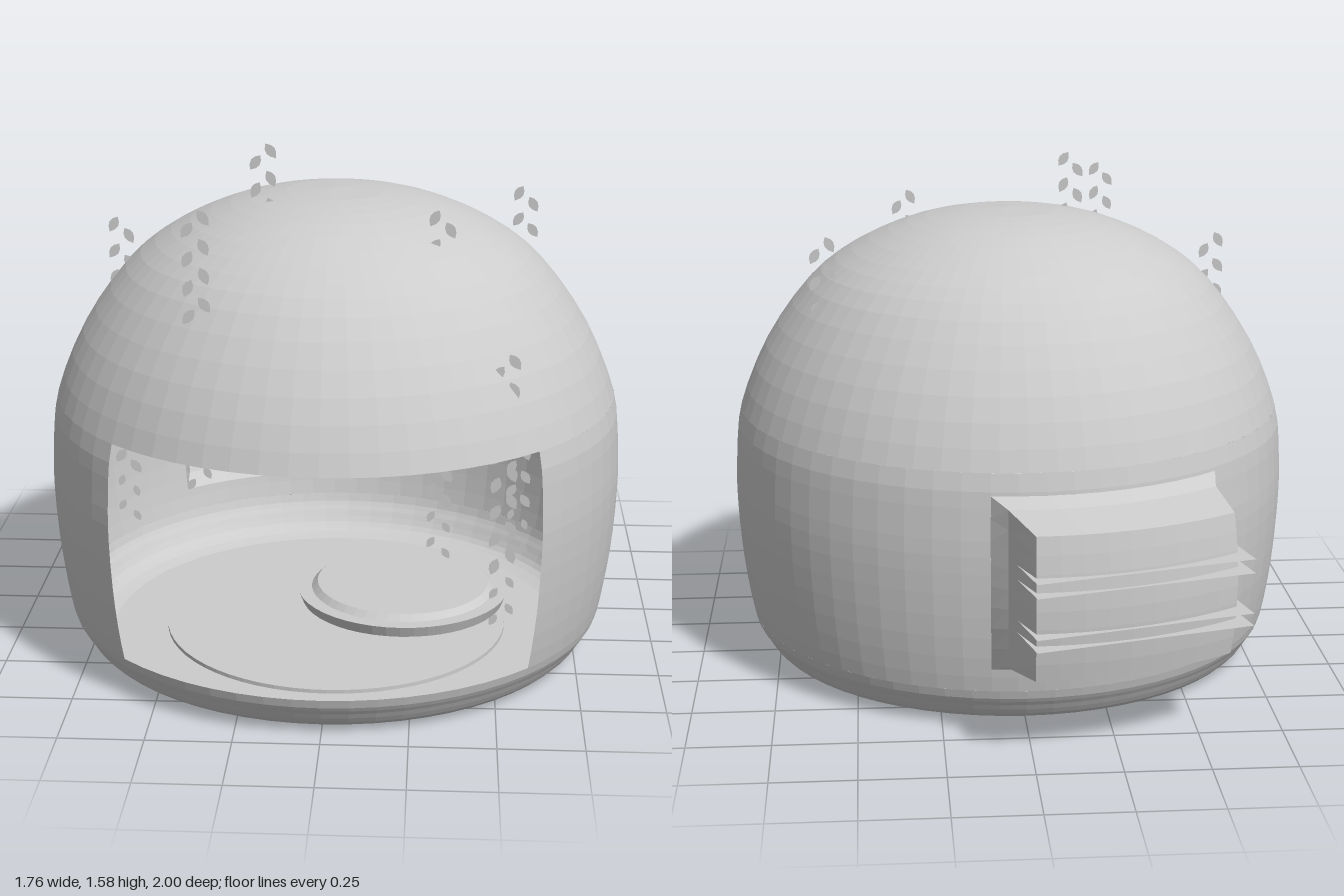
import * as THREE from 'three';

const DEG = Math.PI / 180;
const CZ = 0.14;               // z of the dome's axis
const ALCOVE = 196.8 * DEG;    // heading of the alcove around the axis
const HOLE = 24 * DEG;         // half width of the alcove mouth

const clay = new THREE.MeshStandardMaterial({ color: 0xcccccc, flatShading: true, side: THREE.DoubleSide });
clay.name = 'pale grey';

function add(parent, name, geometry, x = 0, y = 0, z = 0) {
  const mesh = new THREE.Mesh(geometry, clay);
  mesh.name = name;
  mesh.position.set(x, y, z);
  parent.add(mesh);
  return mesh;
}

// Dome profile (radius, height)
const profile = new THREE.SplineCurve([
  [0.71, 0], [0.775, 0.02], [0.812, 0.07], [0.838, 0.125], [0.866, 0.3], [0.88, 0.5], [0.877, 0.65],
  [0.858, 0.8], [0.775, 1.0], [0.64, 1.19], [0.5, 1.3], [0.32, 1.38], [0.15, 1.415], [0, 1.424],
].map(([r, y]) => new THREE.Vector2(r, y))).getPoints(39);

function radiusAt(y) {
  for (let i = 1; i < profile.length; i++) {
    const a = profile[i - 1], b = profile[i];
    if (y <= b.y) return THREE.MathUtils.lerp(a.x, b.x, (y - a.y) / (b.y - a.y));
  }
  return 0;
}

// One piece of the dome wall between two heights and two headings
function wall(parent, name, y0, y1, from, to) {
  const pts = profile.filter(p => p.y > y0 + 0.004 && p.y < y1 - 0.004);
  pts.unshift(new THREE.Vector2(radiusAt(y0), y0));
  pts.push(new THREE.Vector2(y1 > 1.42 ? 0 : radiusAt(y1), y1));
  const segs = Math.max(1, Math.round((to - from) / (5.625 * DEG)));
  add(parent, name, new THREE.LatheGeometry(pts, segs, from, to - from));
}

function makeDome() {
  const dome = new THREE.Group();
  dome.name = 'dome';
  const a = ALCOVE - HOLE, b = ALCOVE + HOLE;
  add(dome, 'base', new THREE.CircleGeometry(0.71, 64).rotateX(Math.PI / 2));
  wall(dome, 'lowerWall', 0, 0.125, 0, 2 * Math.PI);
  wall(dome, 'leftWall', 0.125, 0.8, 45 * DEG, a);
  wall(dome, 'rightWall', 0.125, 0.8, b, 315 * DEG);
  wall(dome, 'wallBelowAlcove', 0.125, 0.2, a, b);
  wall(dome, 'wallAboveAlcove', 0.735, 0.8, a, b);
  wall(dome, 'roof', 0.8, 1.424, 0, 2 * Math.PI);
  return dome;
}

// Alcove pushed out through the back wall: mouth, knee and rear sections
function makeAlcove() {
  const alcove = new THREE.Group();
  alcove.name = 'alcove';
  const sections = [
    { half: HOLE, lo: 0.2, hi: 0.735 },
    { half: 20.7 * DEG, lo: 0.232, hi: 0.71, r: 0.92 },
    { half: 16.6 * DEG, lo: 0.25, hi: 0.68, r: 1.09 },
  ];
  const place = (pos, i, k, s, t) => {
    const q = sections[k], ang = ALCOVE + s * q.half;
    const y = THREE.MathUtils.lerp(q.lo, q.hi, (t + 1) / 2);
    const r = k === 0 ? radiusAt(y) : q.r - (k === 2 ? 0.022 * t * t : 0);
    pos.setXYZ(i, r * Math.sin(ang), y, r * Math.cos(ang));
  };
  // Perimeter of the rectangular section
  const N = 9, M = 8, rim = [];
  for (let i = 0; i < N; i++) rim.push([-1 + 2 * i / N, -1]);
  for (let i = 0; i < M; i++) rim.push([1, -1 + 2 * i / M]);
  for (let i = 0; i < N; i++) rim.push([1 - 2 * i / N, 1]);
  for (let i = 0; i <= M; i++) rim.push([-1, 1 - 2 * i / M]);
  const P = rim.length;
  const sides = new THREE.PlaneGeometry(1, 1, P - 1, 2);
  for (let i = 0; i < sides.attributes.position.count; i++)
    place(sides.attributes.position, i, Math.floor(i / P), ...rim[i % P]);
  sides.computeVertexNormals();
  add(alcove, 'alcoveSides', sides);

  const back = new THREE.PlaneGeometry(2, 2, N, M);
  const bp = back.attributes.position;
  for (let i = 0; i < bp.count; i++) place(bp, i, 2, bp.getX(i), bp.getY(i));
  back.computeVertexNormals();
  add(alcove, 'alcoveBack', back);
  return alcove;
}

// Shelf boards and the little jars; local -z points out through the back
function makeShelves() {
  const shelves = new THREE.Group();
  shelves.name = 'shelves';
  shelves.rotation.y = 14.9 * DEG;
  for (const [lo, hi] of [[0.363, 0.4], [0.522, 0.564]]) {
    for (const y of [lo, hi])
      add(shelves, 'shelfBoard', new THREE.PlaneGeometry(0.66, 0.21).rotateX(-Math.PI / 2), -0.04, y, -0.995);
    add(shelves, 'shelfFront', new THREE.PlaneGeometry(0.66, hi - lo), -0.04, (lo + hi) / 2, -0.89);
  }
  const jarShape = [[0, 0], [0.026, 0], [0.048, 0.028], [0.048, 0.062], [0.024, 0.09], [0.018, 0.1], [0.026, 0.118]]
    .map(([r, y]) => new THREE.Vector2(r, y));
  const jar = new THREE.LatheGeometry(jarShape, 8);
  // x across the front and height of each jar
  for (const [x, y, tilt] of [[-0.475, 0.237, 0], [-0.405, 0.237, 0], [-0.06, 0.237, 0], [-0.18, 0.4, 0], [-0.385, 0.61, 1.9]]) {
    const n = 0.95, u = (x + 0.257 * n) / 0.966;
    add(shelves, 'jar', jar, u, y, -n).rotation.z = tilt;
  }
  return shelves;
}

// Hanging vine made of pairs of flat drooping leaves
function makeVine(x, z, bottom, top, index) {
  const vine = new THREE.Group();
  vine.name = 'vine';
  const s = new THREE.Shape();
  s.moveTo(0, 0.027);
  s.quadraticCurveTo(0.03, 0.002, 0, -0.027);
  s.quadraticCurveTo(-0.03, 0.002, 0, 0.027);
  const leaf = new THREE.ShapeGeometry(s, 4);
  const step = 0.083;
  const high = index % 2 ? 1 : -1;
  for (let y = top - 0.025, i = 0; y > bottom; y -= step, i++) {
    const size = y - bottom < 0.16 ? 0.75 : 1;
    for (const side of [-1, 1]) {
      const m = add(vine, 'leaf', leaf, x + side * 0.023, y - (side === high ? 0 : 0.035), z);
      m.rotation.z = side * (0.5 + 0.15 * Math.sin(i * 2.3 + index));
      m.scale.setScalar(size);
    }
  }
  return vine;
}

export function createModel() {
  const model = new THREE.Group();
  model.name = 'domeHouse';

  const house = new THREE.Group();
  house.name = 'house';
  house.position.z = CZ;
  house.add(makeDome(), makeAlcove(), makeShelves());
  model.add(house);

  // Floor rug and low round table
  add(house, 'rug', new THREE.CylinderGeometry(0.54, 0.54, 0.012, 64), 0, 0.008, 0);
  add(house, 'roundTable', new THREE.CylinderGeometry(0.345, 0.325, 0.05, 48), 0.21, 0.026, -0.18);
  add(house, 'tableTop', new THREE.CylinderGeometry(0.28, 0.3, 0.02, 48), 0.21, 0.06, -0.18);

  // Vines: x, z, bottom, top
  [
    [-0.655, 0.16, 0.32, 1.33], [-0.36, 0.72, 0.64, 1.48], [-0.21, 0.26, 0.73, 1.58],
    [0.325, 0.47, 0.38, 1.43], [0.585, -0.12, 0.14, 1.38], [0.51, 0.725, 0.24, 1.08],
  ].forEach(([x, z, lo, hi], i) => model.add(makeVine(x, z, lo, hi, [0, 1, 1, 0, 0, 1][i])));

  return model;
}
